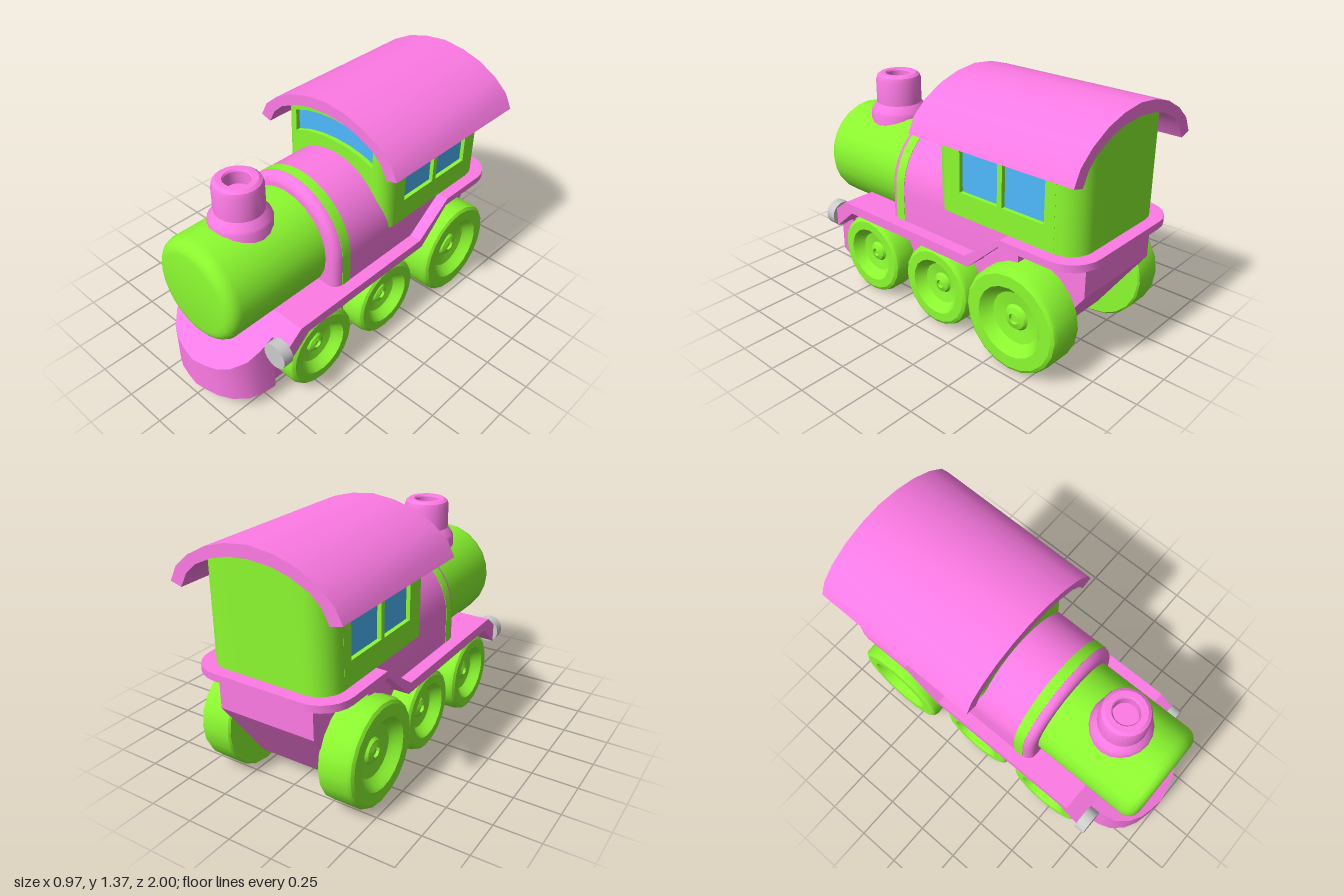
import * as THREE from 'three';
import { toCreasedNormals } from 'three/addons/utils/BufferGeometryUtils.js';

const material = (color) => new THREE.MeshStandardMaterial({ color });
const PINK = material(0xff7be6), GREEN = material(0x8cfa30), BLUE = material(0x4ebaff), GREY = material(0xcccccc);

const toShape = (points) => new THREE.Shape(points.map(([x, y]) => new THREE.Vector2(x, y)));
const mirrored = (half) => [...half, ...half.filter(([x]) => x !== 0).reverse().map(([x, y]) => [-x, y])];
const rect = (a0, a1, b0, b1) => [[a0, b0], [a1, b0], [a1, b1], [a0, b1]];

function extrude(points, depth, holes = [], bevel = {}) {
  const shape = toShape(points);
  shape.holes = holes.map(toShape);
  return new THREE.ExtrudeGeometry(shape, { depth, bevelEnabled: false, ...bevel });
}
// (x, y) outline from z0 to z1
const alongZ = (points, z0, z1, holes) => extrude(points, z1 - z0, holes).translate(0, 0, z0);
// (z, y) outline from x0 to x1
const alongX = (points, x0, x1, holes) => extrude(points, x1 - x0, holes).rotateY(-Math.PI / 2).translate(x1, 0, 0);
// (x, z) outline from y0 to y1
const alongY = (points, y0, y1) => extrude(points, y1 - y0).rotateX(Math.PI / 2).translate(0, y1, 0);

// Reshape the top of a vertical prism by a height rule
function shapeTop(geometry, level, rule) {
  const p = geometry.attributes.position;
  for (let i = 0; i < p.count; i++) if (p.getY(i) > level) p.setY(i, rule(p.getX(i), p.getZ(i)));
  return geometry;
}

const lathe = (points, sides) =>
  new THREE.LatheGeometry(points.map(([r, y]) => new THREE.Vector2(r, y)), sides);

// Points on a circular arc
function arc(cx, cy, r, from, to, steps) {
  return Array.from({ length: steps + 1 }, (_, i) => {
    const a = from + ((to - from) * i) / steps;
    return [cx + r * Math.cos(a), cy + r * Math.sin(a)];
  });
}

// Arched section: half circle on straight sides
const arch = (r) => [[r, 0.51], ...arc(0, 0.69, r, 0, Math.PI, 20), [-r, 0.51]];

// Roof outlines, half from edge to ridge
const roofInner = [[0.42, 1.09], [0.38, 1.165], [0.32, 1.22], [0.22, 1.268], [0.12, 1.295], [0, 1.305]];
const roofOuter = [[0.485, 1.108], [0.443, 1.19], [0.362, 1.26], [0.25, 1.32], [0.13, 1.355], [0, 1.37]];
function roofY(x) {
  const ax = Math.abs(x);
  const i = roofInner.findIndex(([px]) => ax >= px);
  const [x0, y0] = roofInner[i - 1], [x1, y1] = roofInner[i];
  return y1 + ((y0 - y1) * (ax - x1)) / (x0 - x1);
}

// Plan with two rounded rear corners, closed by a straight front
const roundedRear = (w, zFront, zRear, r) =>
  mirrored([[w, zFront], ...arc(w - r, zRear + r, r, 0, -Math.PI / 2, 6), [0.12, zRear], [0, zRear]]);

export function createModel() {
  const model = new THREE.Group();
  const add = (name, geometry, mat, crease = 0.6) => {
    const mesh = new THREE.Mesh(toCreasedNormals(geometry, crease), mat);
    mesh.name = name;
    model.add(mesh);
    return mesh;
  };
  const sides = [[1, 'left'], [-1, 'right']];
  const span = (side, a, b) => (side > 0 ? [a, b] : [-b, -a]);

  // Hollow chassis, open below: two side walls and a bent rear wall
  const chassisSide = [[0.74, 0.08], [0.74, 0.42], [0.63, 0.5], [-0.31, 0.5], [-0.53, 0.67],
    [-0.94, 0.67], [-0.94, 0.465], [-0.67, 0.08]];
  for (const [side, label] of sides) {
    add(label + 'ChassisWall', alongX(chassisSide, ...span(side, 0.26, 0.28)), PINK);
  }
  add('chassisRear', alongX([[-0.94, 0.67], [-0.94, 0.465], [-0.67, 0.08], [-0.645, 0.08],
    [-0.92, 0.47], [-0.92, 0.67]], -0.28, 0.28), PINK);

  // Hollow front skirt: bowed wall and sloped top
  const skirt = [[0.315, 0.72], [0.305, 0.8], [0.28, 0.87], [0.22, 0.933], [0.15, 0.97], [0.075, 0.988], [0, 1]];
  const skirtInner = skirt.map(([x, z]) => [x * 0.94, z === 0.72 ? z : z - 0.018]);
  const slope = (x, z) => 0.265 + (1 - z) * 0.66;
  add('skirtWall', shapeTop(alongY([...mirrored(skirt), ...mirrored(skirtInner).reverse()], 0.08, 0.3), 0.2, slope), PINK);
  const skirtTop = shapeTop(alongY(mirrored(skirt), 0, 1), 0.5, slope);
  add('skirtTop', shapeTop(skirtTop, -1, (x, z) => slope(x, z) - 0.02), PINK);
  const topPositions = skirtTop.attributes.position;
  model.remove(model.getObjectByName('skirtTop'));
  for (let i = 0; i < topPositions.count; i++) topPositions.setY(i, slope(0, topPositions.getZ(i)));
  const lid = new THREE.ShapeGeometry(toShape(mirrored(skirt))).rotateX(Math.PI / 2);
  const lidMaterial = PINK.clone();
  lidMaterial.side = THREE.DoubleSide;
  add('skirtTop', shapeTop(lid, -1, slope), lidMaterial);

  // Running board: stepped part and rounded rear deck
  add('runningBoard', alongX([[0.72, 0.45], [0.63, 0.52], [-0.31, 0.52], [-0.54, 0.69], [-0.6, 0.69],
    [-0.6, 0.65], [-0.53, 0.65], [-0.33, 0.465], [0.577, 0.465], [0.72, 0.34]], -0.43, 0.43), PINK, 0.3);
  add('rearDeck', alongY(roundedRear(0.43, -0.6, -1, 0.17), 0.65, 0.69), PINK);

  // Boiler barrel with rounded front edge
  const barrel = [[0, -0.2], [0.29, -0.2], ...arc(0.22, 0.873, 0.07, 0, Math.PI / 2, 4), [0, 0.943]];
  add('boiler', lathe(barrel, 24).rotateX(Math.PI / 2).translate(0, 0.69, 0), GREEN);

  // Firebox: bevelled front collar, band and rear body
  const collar = extrude(arch(0.31), 0.04, [],
    { bevelEnabled: true, bevelSize: 0.05, bevelThickness: 0.05, bevelSegments: 4 });
  add('fireboxCollar', collar.translate(0, 0, 0.22), PINK);
  add('fireboxBand', alongZ(arch(0.362), 0.2, 0.26), GREEN);
  add('fireboxBody', alongZ(arch(0.36), -0.6, 0.2), PINK);

  // Chimney with flared base and hollow top
  add('chimney', lathe([[0.165, 0.85], [0.165, 0.985], [0.158, 1], [0.138, 1.03], [0.13, 1.04], [0.13, 1.175],
    [0.122, 1.198], [0.105, 1.21], [0.075, 1.21], [0.068, 1.2], [0.068, 1.13], [0, 1.13]], 20)
    .translate(0, 0, 0.61), PINK);

  // Cab front wall with arched window
  const wallTop = [[0.28, roofY(0.28)], ...roofInner.slice(3)];
  const frontWindow = mirrored([[0.275, 1.065], [0.275, 1.192], [0.19, 1.222], [0.1, 1.239], [0, 1.245]]);
  frontWindow.push([-0.19, 1.095], [-0.1, 1.112], [0, 1.118], [0.1, 1.112], [0.19, 1.095]);
  add('cabFront', alongZ(mirrored([[0.28, 0.88], ...wallTop]), -0.11, -0.05, [frontWindow]), GREEN);
  add('frontGlass', alongZ(frontWindow, -0.1, -0.075), BLUE);

  // Cab sides: rounded front pillar and a wall with two windows
  const sideWindows = [rect(-0.465, -0.22, 0.82, 1.14), rect(-0.75, -0.495, 0.82, 1.14)];
  const pillar = [[0.28, -0.135], ...arc(0.28, -0.135, 0.085, 0, Math.PI / 2, 6)];
  for (const [side, label] of sides) {
    const plan = pillar.map(([x, z]) => [side * x, z]);
    add(label + 'CabPillar', shapeTop(alongY(plan, 0.69, 1.2), 1, (x) => roofY(x) + 0.005), GREEN);
    add(label + 'CabWall', alongX(rect(-0.81, -0.135, 0.69, 1.185), ...span(side, 0.31, 0.365), sideWindows), GREEN);
    sideWindows.forEach((w, i) =>
      add(label + 'Window' + (i + 1), alongX(w, ...span(side, 0.32, 0.342)), BLUE));
  }

  // Cab rear wall with rounded corners, and the roof
  add('cabRear', shapeTop(alongY(roundedRear(0.365, -0.8, -0.935, 0.13), 0.69, 1.3), 1, (x) => roofY(x) + 0.005), GREEN);
  add('roof', alongZ([...mirrored(roofOuter), ...mirrored(roofInner).reverse()], -0.988, 0.012), PINK);

  // Wheels (the rear pair larger and wider) and headlights
  const wheels = [['Front', 0.455, 0.23, 0.14], ['Middle', -0.07, 0.23, 0.14], ['Rear', -0.632, 0.283, 0.195]];
  for (const [side, label] of sides) {
    for (const [place, z, r, w] of wheels) {
      const profile = [[0, 0], [r - 0.01, 0], [r, 0.01], [r, w - 0.03], [r - 0.008, w - 0.01], [r - 0.025, w],
        [0.68 * r, w], [0.64 * r, w - 0.012], [0.58 * r, w - 0.035], [0.5 * r, w - 0.055], [0.25 * r, w - 0.065],
        [0.21 * r, w - 0.05], [0.1 * r, w - 0.04], [0.09 * r, w - 0.055], [0, w - 0.055]];
      const wheel = add(`${label}${place}Wheel`, lathe(profile, 20), GREEN, 0.5);
      wheel.rotation.z = -side * Math.PI / 2;
      wheel.position.set(side * 0.27, r + 0.002, z);
    }
    const lamp = new THREE.CylinderGeometry(0.073, 0.073, 0.06, 20).rotateX(Math.PI / 2);
    add(label + 'Headlight', lamp.translate(side * 0.385, 0.405, 0.747), GREY);
  }

  return model;
}
